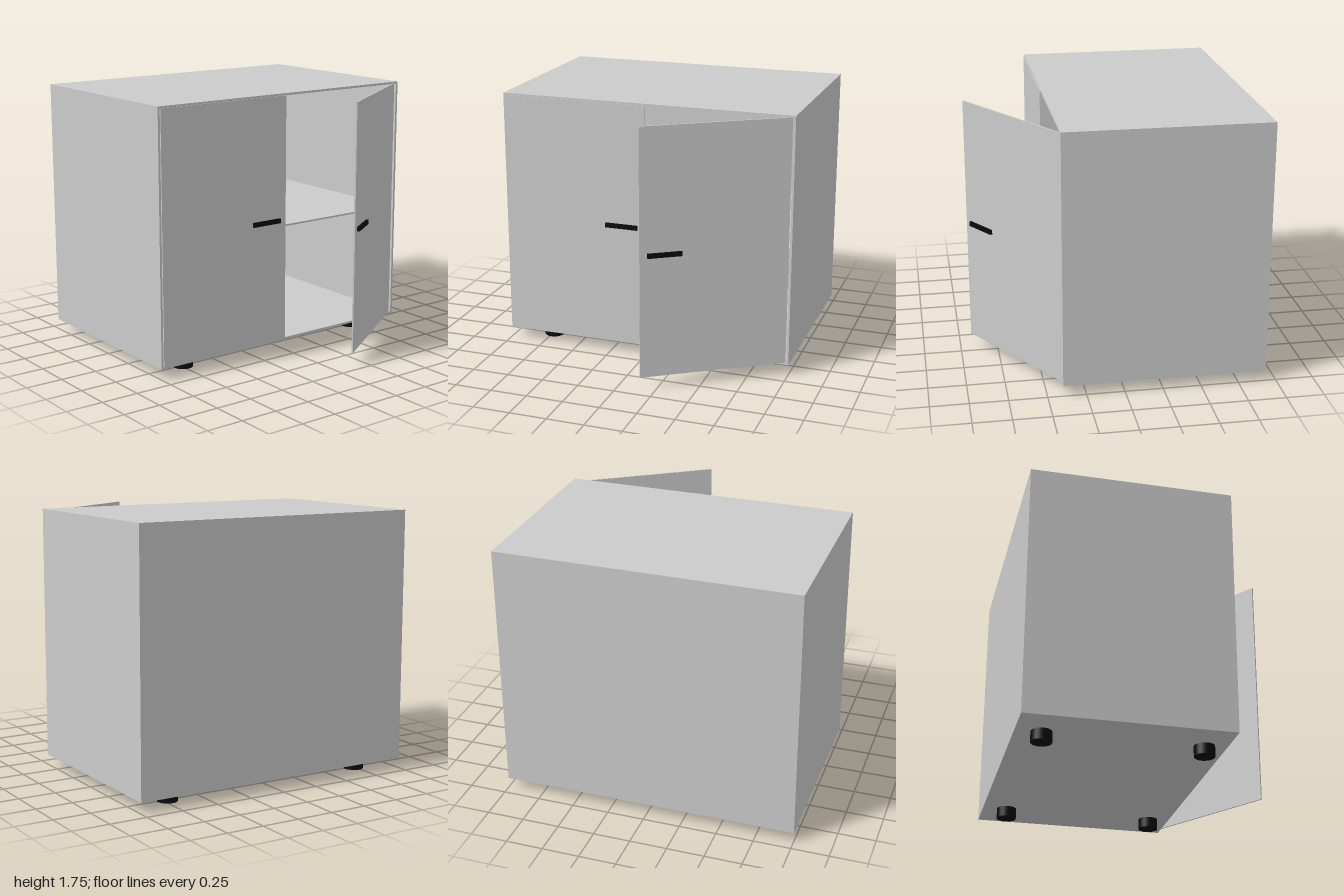
import * as THREE from 'three';

const grey = new THREE.MeshStandardMaterial({ color: 0xcccccc });
const black = new THREE.MeshStandardMaterial({ color: 0x0a0a0a });

// Box given by its min and max corners
function box(name, [x0, y0, z0], [x1, y1, z1], material = grey) {
  const mesh = new THREE.Mesh(new THREE.BoxGeometry(x1 - x0, y1 - y0, z1 - z0), material);
  mesh.position.set((x0 + x1) / 2, (y0 + y1) / 2, (z0 + z1) / 2);
  mesh.name = name;
  return mesh;
}

// Door with its hinge edge on the local origin; side +1 has its hinge on the model's left
function makeDoor(name, side) {
  const door = new THREE.Group();
  door.name = name;
  const width = 0.983;
  const span = (a, b) => [Math.min(-side * a, -side * b), Math.max(-side * a, -side * b)];
  const [px0, px1] = span(0, width);
  const [hx0, hx1] = span(width - 0.275, width - 0.05);
  door.add(
    box('doorPanel', [px0, 0.083, -0.01], [px1, 1.742, 0]),
    box('doorHandle', [hx0, 0.895, 0], [hx1, 0.925, 0.016], black),
  );
  return door;
}

export function createModel() {
  const model = new THREE.Group();
  model.name = 'cabinet';

  // Carcass: five panels around an open front, with one inner shelf
  const t = 0.015, y0 = 0.07, y1 = 1.755, zb = -0.93, zf = 0.4;
  const body = new THREE.Group();
  body.name = 'body';
  body.add(
    box('topPanel', [-1, y1 - t, zb], [1, y1, zf]),
    box('bottomPanel', [-1, y0, zb], [1, y0 + t, zf]),
    box('rightSidePanel', [-1, y0 + t, zb], [-1 + t, y1 - t, zf]),
    box('leftSidePanel', [1 - t, y0 + t, zb], [1, y1 - t, zf]),
    box('backPanel', [-1 + t, y0 + t, zb], [1 - t, y1 - t, zb + t]),
    box('shelf', [-1 + t, 0.853, zb + t], [1 - t, 0.865, 0.37]),
  );
  model.add(body);

  // Doors: the right one shut, the left one standing open
  const rightDoor = makeDoor('rightDoor', -1);
  rightDoor.position.set(-0.983, 0, 0.405);
  const leftDoor = makeDoor('leftDoor', 1);
  leftDoor.position.set(0.978, 0, 0.39);
  leftDoor.rotation.y = THREE.MathUtils.degToRad(33);
  model.add(rightDoor, leftDoor);

  // Small hinge arms between the open door and its side panel
  for (const y of [0.25, 1.57]) {
    const arm = box('hingeArm', [-0.05, -0.015, -0.004], [0.05, 0.015, 0.004]);
    arm.position.set(0.935, y, 0.395);
    arm.rotation.y = THREE.MathUtils.degToRad(49);
    model.add(arm);
  }

  // Round feet
  const footGeometry = new THREE.CylinderGeometry(0.067, 0.067, y0, 32);
  for (const x of [-0.737, 0.723]) {
    for (const z of [-0.765, 0.255]) {
      const foot = new THREE.Mesh(footGeometry, black);
      foot.name = 'foot';
      foot.position.set(x, y0 / 2, z);
      model.add(foot);
    }
  }
  return model;
}
